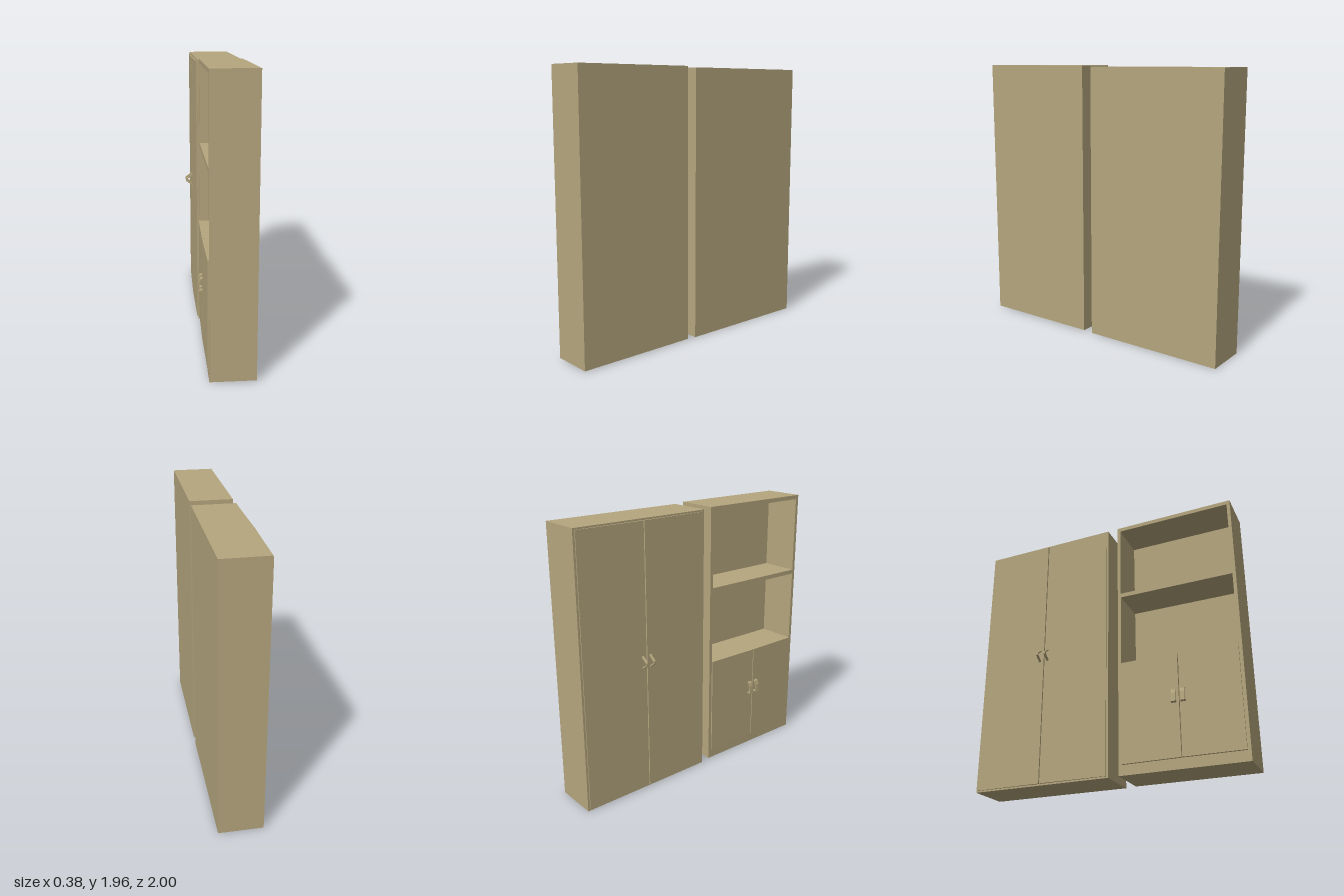
import * as THREE from 'three';

const wood = new THREE.MeshStandardMaterial({ color: 0xb5a67e });
wood.name = 'beige wood';

// Box given by its minimum and maximum corners
function board(parent, name, [x0, y0, z0], [x1, y1, z1]) {
  const mesh = new THREE.Mesh(new THREE.BoxGeometry(x1 - x0, y1 - y0, z1 - z0), wood);
  mesh.position.set((x0 + x1) / 2, (y0 + y1) / 2, (z0 + z1) / 2);
  mesh.name = name;
  parent.add(mesh);
  return mesh;
}

// Side profile (x, y) extruded along z, centred on z
function handle(parent, name, points, z, width) {
  const shape = new THREE.Shape(points.map(([x, y]) => new THREE.Vector2(x, y)));
  const geometry = new THREE.ExtrudeGeometry(shape, { depth: width, bevelEnabled: false });
  const mesh = new THREE.Mesh(geometry, wood);
  mesh.position.z = z - width / 2;
  mesh.name = name;
  parent.add(mesh);
}

// Pair of doors hinged on their outer edges, each standing slightly proud at the middle
function doorPair(parent, { z0, z1, y0, y1, face, thick, gap, swing }) {
  const width = (z1 - z0 - gap) / 2;
  for (const side of [-1, 1]) {
    const hinge = new THREE.Group();
    hinge.name = side < 0 ? 'rearDoor' : 'frontDoor';
    hinge.position.set(face, 0, side < 0 ? z0 : z1);
    hinge.rotation.y = side * swing;
    const edge = -side * width;
    board(hinge, 'doorPanel', [0, y0, Math.min(0, edge)], [thick, y1, Math.max(0, edge)]);
    parent.add(hinge);
  }
}

function wardrobe() {
  const group = new THREE.Group();
  group.name = 'wardrobe';
  board(group, 'wardrobeBody', [-0.125, 0, -1], [0.187, 1.955, 0.035]);
  doorPair(group, {
    z0: -0.985, z1: 0.02, y0: 0.012, y1: 1.943,
    face: -0.132, thick: 0.018, gap: 0.007, swing: 0.014,
  });
  // Pointed bow handles
  const bow = [
    [-0.135, 1.03], [-0.189, 0.99], [-0.189, 0.97], [-0.135, 0.93],
    [-0.135, 0.944], [-0.179, 0.975], [-0.179, 0.985], [-0.135, 1.016],
  ];
  for (const z of [-0.517, -0.454]) handle(group, 'wardrobeHandle', bow, z, 0.014);
  return group;
}

function bookcase() {
  const group = new THREE.Group();
  group.name = 'bookcase';
  const front = -0.116, back = 0.187, z0 = 0.108, z1 = 1, y0 = 0.005, y1 = 1.963, t = 0.024;
  // Carcass
  board(group, 'rearSide', [front, y0, z0], [back, y1, z0 + t]);
  board(group, 'frontSide', [front, y0, z1 - t], [back, y1, z1]);
  board(group, 'backPanel', [back - 0.02, y0, z0 + t], [back, y1, z1 - t]);
  board(group, 'topBoard', [front, y1 - 0.03, z0 + t], [back - 0.02, y1, z1 - t]);
  board(group, 'plinth', [front, y0, z0 + t], [back - 0.02, 0.078, z1 - t]);
  // Open shelves
  for (const top of [1.38, 0.81]) {
    board(group, 'shelf', [front, top - 0.032, z0 + t], [back - 0.02, top, z1 - t]);
  }
  // Lower cupboard
  doorPair(group, {
    z0: z0 + t, z1: z1 - t, y0: 0.08, y1: 0.812,
    face: -0.125, thick: 0.016, gap: 0.006, swing: 0.012,
  });
  // Curved flat-strap handles
  const strap = [
    [-0.126, 0.55], [-0.146, 0.545], [-0.156, 0.515], [-0.161, 0.455], [-0.126, 0.455],
    [-0.126, 0.463], [-0.153, 0.463], [-0.148, 0.513], [-0.141, 0.537], [-0.126, 0.542],
  ];
  for (const z of [0.518, 0.583]) handle(group, 'cupboardHandle', strap, z, 0.034);
  return group;
}

export function createModel() {
  const model = new THREE.Group();
  model.name = 'cabinetPair';
  model.add(wardrobe(), bookcase());
  return model;
}
